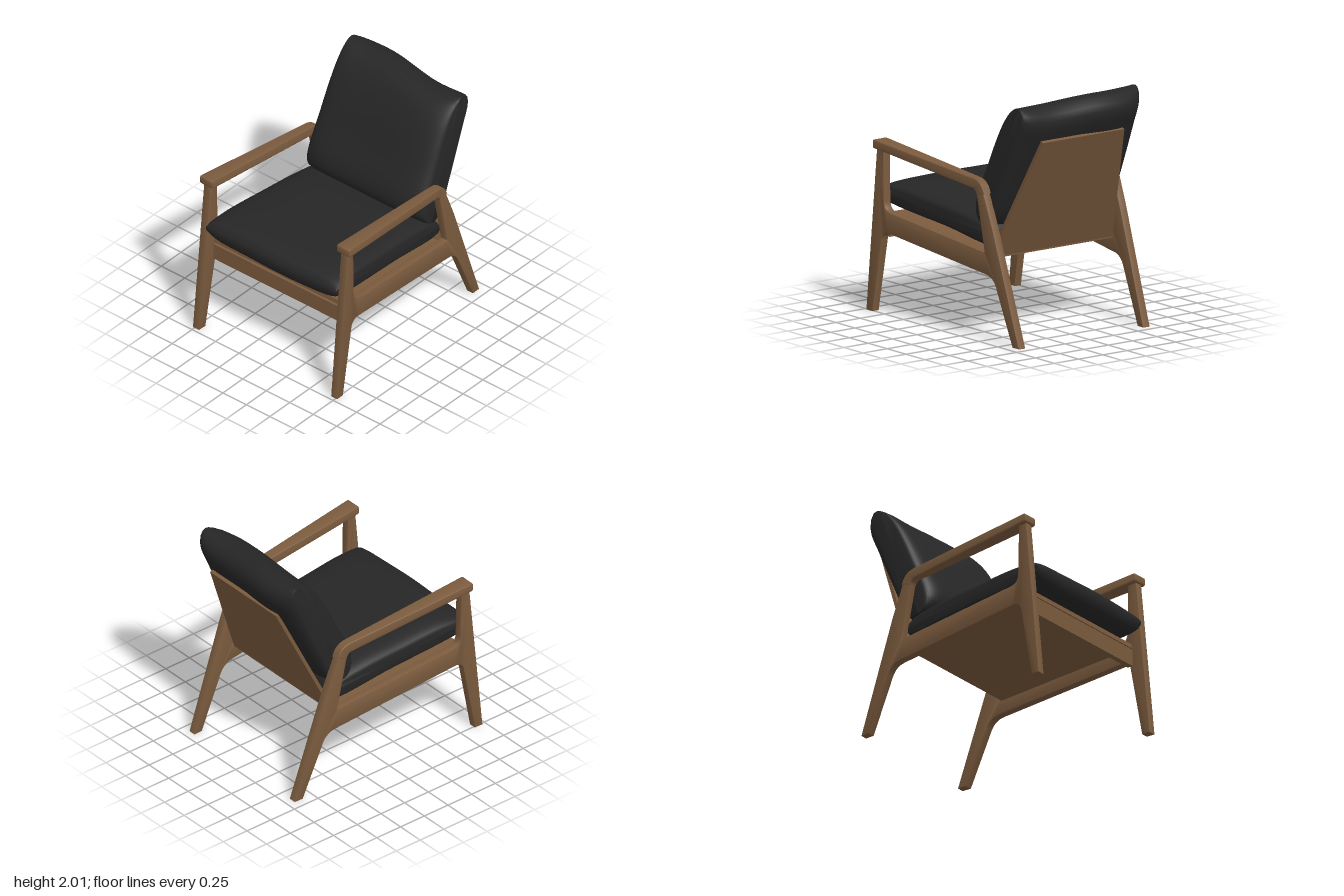
import * as THREE from 'three';
import { toCreasedNormals } from 'three/addons/utils/BufferGeometryUtils.js';

const wood = new THREE.MeshStandardMaterial({ color: 0x7b5b3e });
wood.name = 'wood';
const fabric = new THREE.MeshStandardMaterial({ color: 0x262626 });
fabric.name = 'blackFabric';

function addMesh(parent, name, geometry, material) {
  const mesh = new THREE.Mesh(geometry, material);
  mesh.name = name;
  parent.add(mesh);
  return mesh;
}

// Move every vertex by a rule
function warp(geometry, rule) {
  const p = geometry.attributes.position;
  const v = new THREE.Vector3();
  for (let i = 0; i < p.count; i++) {
    v.fromBufferAttribute(p, i);
    rule(v);
    p.setXYZ(i, v.x, v.y, v.z);
  }
  return geometry;
}

// Closed outline from [z, y, cornerRadius] points
function roundedOutline(path, points) {
  const n = points.length;
  points.forEach(([z, y, r = 0], i) => {
    const c = new THREE.Vector2(z, y);
    const toward = (q) => new THREE.Vector2(q[0], q[1]).sub(c).setLength(r).add(c);
    const a = toward(points[(i + n - 1) % n]);
    const b = toward(points[(i + 1) % n]);
    if (i === 0) path.moveTo(a.x, a.y);
    else path.lineTo(a.x, a.y);
    if (r > 0) path.quadraticCurveTo(z, y, b.x, b.y);
  });
  path.closePath();
  return path;
}

// Side profile extruded to a unit-less slab centred on x = 0
function extrudeSide(shape, thickness, bevel) {
  const g = new THREE.ExtrudeGeometry(shape, {
    depth: thickness - 2 * bevel, curveSegments: 8, bevelEnabled: true,
    bevelSize: bevel, bevelThickness: bevel, bevelOffset: -bevel, bevelSegments: 2,
  });
  g.translate(0, 0, bevel - thickness / 2);
  return g.rotateY(-Math.PI / 2);
}

// The side frames converge toward the back
const frameX = (z) => 0.687 + 0.05 * z;

function sideFrame(side) {
  const group = new THREE.Group();
  group.name = side > 0 ? 'leftSideFrame' : 'rightSideFrame';

  // Legs and side rail in one piece, with the opening under the arm
  const shape = roundedOutline(new THREE.Shape(), [
    [0.968, 0], [0.832, 1.4], [-0.455, 1.31, 0.09], [-0.6, 0.95, 0.03],
    [-0.932, 0], [-0.852, 0], [-0.61, 0.545, 0.09], [0.765, 0.69, 0.08], [0.892, 0],
  ]);
  shape.holes.push(roundedOutline(new THREE.Path(), [
    [0.755, 1.38], [0.745, 0.865, 0.08], [-0.505, 0.735, 0.02], [-0.395, 1.255, 0.05],
  ]));
  const legs = warp(extrudeSide(shape, 0.07, 0.006), (v) => { v.x += side * frameX(v.z); });
  addMesh(group, 'legsAndSideRail', toCreasedNormals(legs, 0.6), wood);

  // Armrest, wide in front and tapering into the back leg
  const armShape = roundedOutline(new THREE.Shape(), [
    [0.85, 1.375, 0.02], [0.85, 1.45, 0.025], [-0.46, 1.325, 0.09],
    [-0.503, 1.22], [-0.407, 1.2], [-0.393, 1.245, 0.04],
  ]);
  const arm = warp(extrudeSide(armShape, 0.14, 0.012), (v) => {
    const half = 0.038 + 0.025 * Math.max(0, v.z + 0.45);
    v.x = v.x * (half / 0.07) + side * frameX(v.z);
  });
  addMesh(group, 'armrest', toCreasedNormals(arm, 0.6), wood);
  return group;
}

// Flat board between two [z, y] ends, with its own half width at each end
function board(from, to, halfFrom, halfTo, thickness) {
  const dz = to[0] - from[0], dy = to[1] - from[1];
  const len = Math.hypot(dz, dy);
  const g = warp(new THREE.BoxGeometry(2, thickness, len), (v) => {
    v.x *= THREE.MathUtils.lerp(halfFrom, halfTo, v.z / len + 0.5);
  });
  g.rotateX(-Math.atan2(dy, dz));
  return g.translate(0, (from[1] + to[1]) / 2, (from[0] + to[0]) / 2);
}

// Cushion: a closed [z, y] section swept across x, thinning toward both ends
function cushion(section, axis, endThickness, rule) {
  const ring = 48, slices = 32;
  const curve = new THREE.CatmullRomCurve3(
    section.map(([z, y]) => new THREE.Vector3(0, y, z)), true, 'centripetal');
  const pts = curve.getSpacedPoints(ring).slice(0, ring);
  const c = pts.reduce((s, p) => s.add(p), new THREE.Vector3()).divideScalar(ring);
  const d = new THREE.Vector3(0, axis[1], axis[0]).normalize();
  const pos = [], index = [];
  for (let i = 0; i <= slices; i++) {
    const u = Math.sin((i / slices - 0.5) * Math.PI);
    const thin = endThickness + (1 - endThickness) * Math.sqrt(1 - Math.abs(u) ** 5);
    const long = 1 - 0.025 * Math.abs(u) ** 8;
    for (const p of pts) {
      const q = p.clone().sub(c);
      const along = q.dot(d);
      q.addScaledVector(d, -along).multiplyScalar(thin).addScaledVector(d, along * long).add(c);
      pos.push(u, q.y, q.z);
    }
  }
  for (let i = 0; i < slices; i++) {
    for (let j = 0; j < ring; j++) {
      const k = (j + 1) % ring;
      const a = i * ring + j, b = i * ring + k;
      index.push(a, a + ring, b, b, a + ring, b + ring);
    }
  }
  // End caps
  const first = pos.length / 3, last = slices * ring;
  pos.push(-1, c.y, c.z, 1, c.y, c.z);
  for (let j = 0; j < ring; j++) {
    const k = (j + 1) % ring;
    index.push(first, j, k, first + 1, last + k, last + j);
  }
  const g = new THREE.BufferGeometry();
  g.setAttribute('position', new THREE.Float32BufferAttribute(pos, 3));
  g.setIndex(index);
  warp(g, rule);
  return toCreasedNormals(g, 1.0);
}

export function createModel() {
  const chair = new THREE.Group();
  chair.name = 'loungeChair';
  for (const side of [1, -1]) chair.add(sideFrame(side));

  // Front rail and the two boards
  const rail = new THREE.BoxGeometry(1.39, 0.145, 0.05).translate(0, 0.708, 0.775);
  addMesh(chair, 'frontRail', rail, wood);
  addMesh(chair, 'seatBoard', board([-0.5, 0.69], [0.79, 0.815], 0.635, 0.695, 0.04), wood);
  addMesh(chair, 'backBoard', board([-0.49, 0.69], [-0.91, 1.69], 0.625, 0.42, 0.03), wood);

  // Seat cushion
  addMesh(chair, 'seatCushion', cushion([
    [-0.48, 0.745], [0.1, 0.8], [0.72, 0.855], [0.87, 0.89], [0.912, 0.97], [0.89, 1.05],
    [0.7, 1.105], [0.2, 1.08], [-0.2, 1.04], [-0.45, 0.97], [-0.51, 0.85],
  ], [1, 0.1], 0.4, (v) => {
    v.z += 0.006 * Math.sin(v.x * 5 + 1) * v.z;
    v.x *= 0.653 + 0.042 * v.z;
  }), fabric);

  // Back cushion, slightly slumped to one side
  addMesh(chair, 'backCushion', cushion([
    [-0.52, 0.95], [-0.42, 0.93], [-0.3, 0.98], [-0.23, 1.08], [-0.24, 1.2], [-0.36, 1.45],
    [-0.47, 1.68], [-0.58, 1.86], [-0.7, 1.97], [-0.82, 2.0], [-0.92, 1.96], [-0.955, 1.86],
    [-0.88, 1.67], [-0.73, 1.33], [-0.6, 1.06],
  ], [-0.4, 0.95], 0.5, (v) => {
    const h = Math.max(0, v.y - 1);
    v.z += 0.03 * h * Math.sin(v.x * 3);
    v.y -= 0.035 * h * THREE.MathUtils.smoothstep(v.x, -0.4, 0.6);
    v.y += 0.025 * h * Math.abs(v.x) ** 6;
    v.x *= 0.635 - 0.035 * h;
  }), fabric);

  return chair;
}
